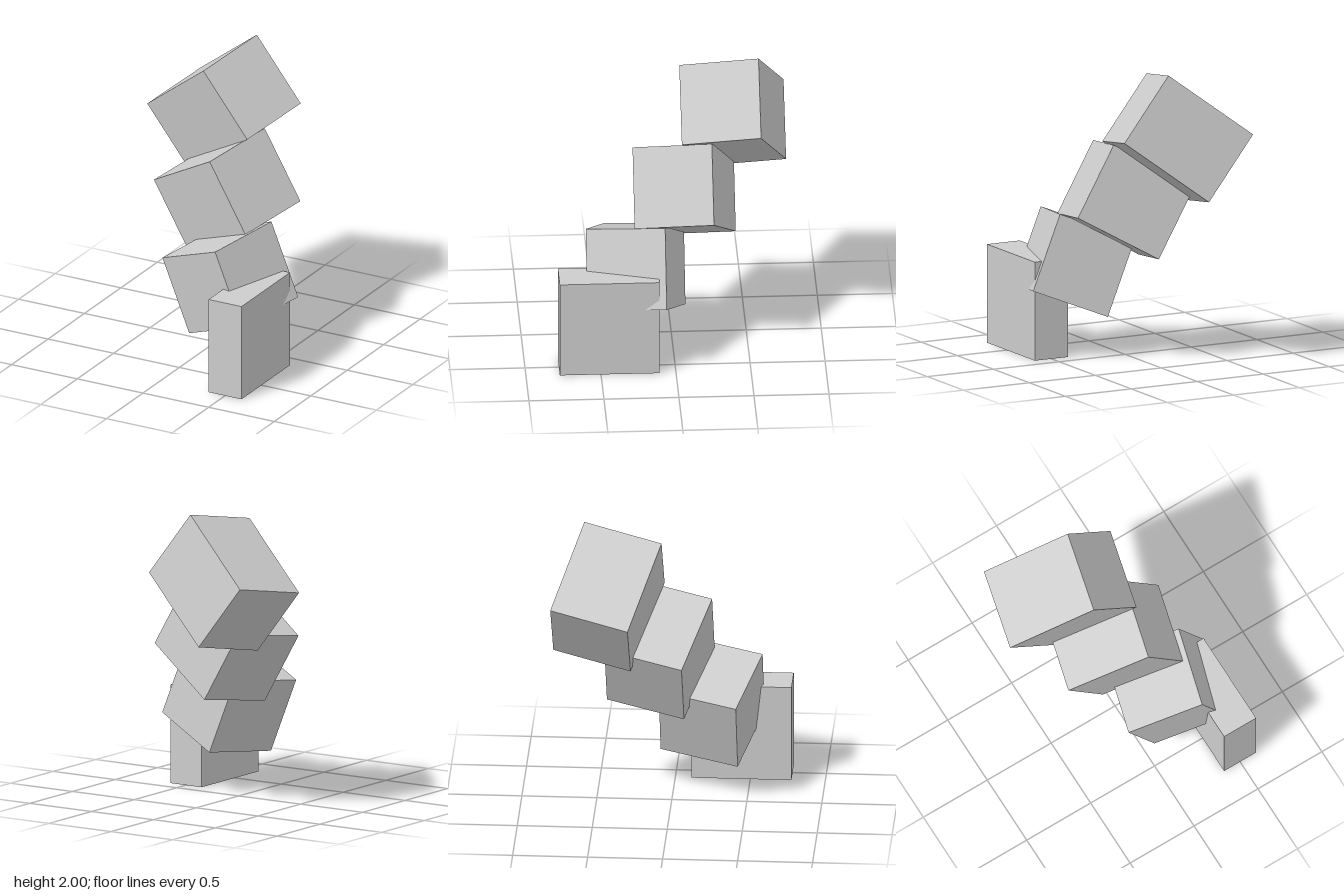
import * as THREE from 'three';

export function createModel() {
  const group = new THREE.Group();
  const grey = new THREE.MeshStandardMaterial({ color: 0xcccccc });
  grey.name = 'light grey';

  const addBlock = (name, w, h, d, x, y, z) => {
    const mesh = new THREE.Mesh(new THREE.BoxGeometry(w, h, d), grey);
    mesh.name = name;
    mesh.position.set(x, y, z);
    group.add(mesh);
    return mesh;
  };

  // upright slab standing on the ground
  addBlock('baseSlab', 0.25, 0.67, 0.665, 0.5, 0.335, 0.442);

  // leaning stack: each block is wider and tilted further than the one below
  const size = 0.543;
  for (let i = 0; i < 3; i++) {
    const block = addBlock(
      `stackBlock${i + 1}`,
      size * (1 + 0.15 * i), size, size,
      0.249 - 0.2095 * i, 0.61 + 0.4615 * i, 0.25 - 0.3345 * i
    );
    block.rotation.set(
      0,
      THREE.MathUtils.degToRad(-16),
      THREE.MathUtils.degToRad(22 + 8 * i),
      'ZYX'
    );
  }

  return group;
}
